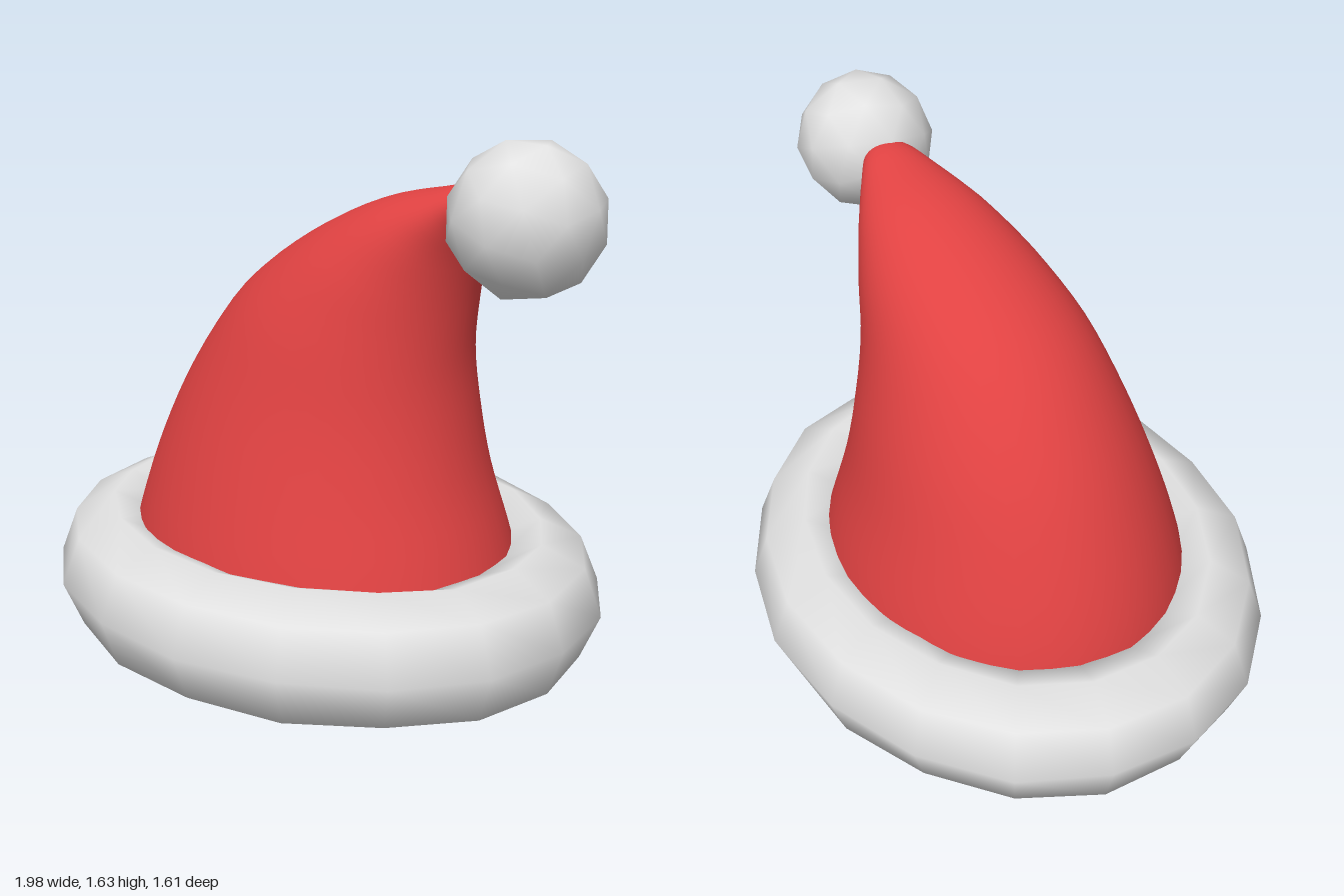
import * as THREE from 'three';

// Skin a list of closed rings; joins last ring to first when loop is true
function loft(rings, loop) {
  const n = rings[0].length;
  const m = rings.length;
  const index = [];
  for (let i = 0; i < (loop ? m : m - 1); i++) {
    for (let j = 0; j < n; j++) {
      const a = i * n + j;
      const b = i * n + ((j + 1) % n);
      const c = ((i + 1) % m) * n + j;
      const d = ((i + 1) % m) * n + ((j + 1) % n);
      index.push(a, c, b, b, c, d);
    }
  }
  const g = new THREE.BufferGeometry();
  g.setAttribute('position', new THREE.Float32BufferAttribute(rings.flat(2), 3));
  g.setIndex(index);
  g.computeVertexNormals();
  return g;
}

// Bent cone: each section is [leftX, leftY, rightX, rightY, halfDepth, centreZ]
function coneGeometry() {
  const sections = [
    [-0.73, 0.2, 0.68, 0.2, 0.59, 0],
    [-0.69, 0.4, 0.62, 0.4, 0.545, 0],
    [-0.6, 0.64, 0.555, 0.6, 0.48, 0],
    [-0.46, 0.9, 0.515, 0.78, 0.415, -0.01],
    [-0.25, 1.15, 0.497, 0.95, 0.345, -0.02],
    [0, 1.32, 0.505, 1.12, 0.275, -0.045],
    [0.25, 1.43, 0.53, 1.25, 0.2, -0.065],
    [0.45, 1.475, 0.56, 1.33, 0.135, -0.075],
    [0.6, 1.495, 0.59, 1.38, 0.08, -0.08],
    [0.7, 1.44, 0.7, 1.42, 0.01, -0.08],
  ];
  const curve = (k) => new THREE.CatmullRomCurve3(
    sections.map((s) => new THREE.Vector3(s[k], s[k + 1], 0)));
  const depth = new THREE.CatmullRomCurve3(
    sections.map((s) => new THREE.Vector3(s[4], s[5], 0)));
  const left = curve(0);
  const right = curve(2);
  const rows = 36;
  const sides = 40;
  const rings = [];
  for (let i = 0; i <= rows; i++) {
    const l = left.getPoint(i / rows);
    const r = right.getPoint(i / rows);
    const d = depth.getPoint(i / rows);
    const ring = [];
    for (let j = 0; j < sides; j++) {
      const a = (j / sides) * Math.PI * 2;
      const f = (1 + Math.cos(a)) / 2;
      ring.push([l.x + (r.x - l.x) * f, l.y + (r.y - l.y) * f, d.y + d.x * Math.sin(a)]);
    }
    rings.push(ring);
  }
  return loft(rings, false);
}

// Slightly lumpy oval fur ring
function brimGeometry() {
  const segments = 18;
  const sides = 8;
  const rings = [];
  for (let i = 0; i < segments; i++) {
    const t = (i / segments) * Math.PI * 2 + Math.PI / 2;
    const ring = [];
    for (let j = 0; j < sides; j++) {
      const b = (j / sides) * Math.PI * 2;
      const lump = 1 + 0.025 * Math.sin(i * 2.3 + j * 1.7);
      const out = 0.185 * Math.cos(b) * lump;
      ring.push([
        -0.03 + (0.785 + out) * Math.cos(t),
        0.21 - 0.2 * Math.sin(b) * lump,
        (0.62 + out) * Math.sin(t),
      ]);
    }
    rings.push(ring);
  }
  return loft(rings, true);
}

export function createModel() {
  const red = new THREE.MeshStandardMaterial({ color: 0xe04242 });
  red.name = 'red felt';
  const white = new THREE.MeshStandardMaterial({ color: 0xe2e2e2 });
  white.name = 'white fur';

  const model = new THREE.Group();
  model.name = 'winterHat';
  const add = (name, geometry, material) => {
    const mesh = new THREE.Mesh(geometry, material);
    mesh.name = name;
    model.add(mesh);
    return mesh;
  };

  add('hatCone', coneGeometry(), red);

  // Flat underside closing the cone inside the brim
  const base = new THREE.CircleGeometry(1, 40);
  base.rotateX(Math.PI / 2);
  base.scale(0.705, 1, 0.59);
  base.translate(-0.025, 0.2, 0);
  add('hatUnderside', base, red);

  add('furBrim', brimGeometry(), white);

  const pompom = add('pompom', new THREE.IcosahedronGeometry(0.22, 1), white);
  pompom.position.set(0.78, 1.42, -0.075);
  pompom.rotation.set(0.2, 0.3, 0.15);

  return model;
}
